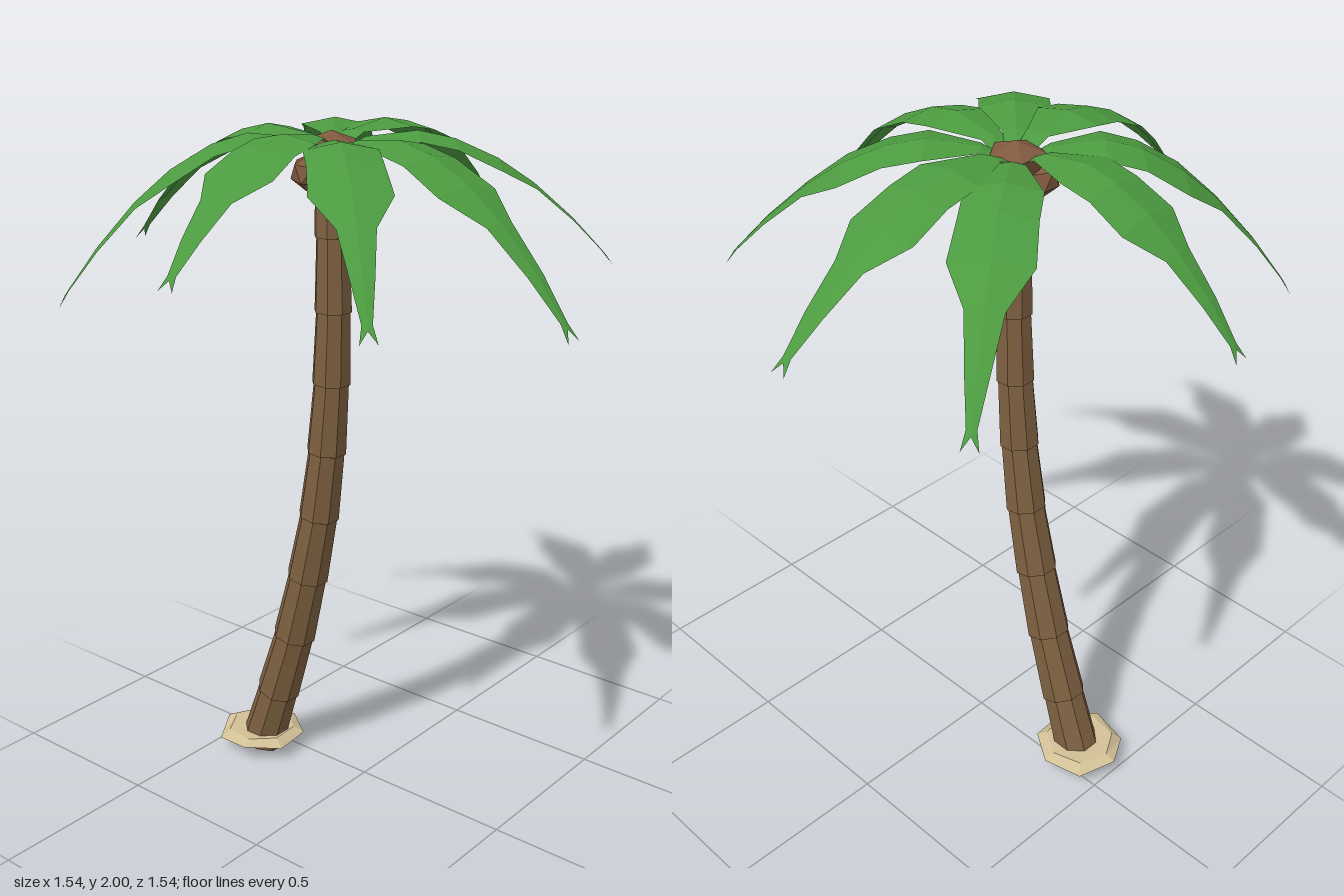
import * as THREE from 'three';

const leafGreen = new THREE.MeshStandardMaterial({ color: 0x4c9a40, side: THREE.DoubleSide });
const barkBrown = new THREE.MeshStandardMaterial({ color: 0x7d6040 });
const nutBrown = new THREE.MeshStandardMaterial({ color: 0x80593f });
const sand = new THREE.MeshStandardMaterial({ color: 0xd2c096 });

const crown = new THREE.Vector3(-0.065, 0, 0.06);

// Faceted mesh: every face gets its own flat normal
function facet(geometry, material, name) {
  const flat = geometry.index ? geometry.toNonIndexed() : geometry;
  flat.computeVertexNormals();
  const mesh = new THREE.Mesh(flat, material);
  mesh.name = name;
  return mesh;
}

function lathe(profile, sides, start = 0) {
  return new THREE.LatheGeometry(profile.map(([r, y]) => new THREE.Vector2(r, y)), sides, start);
}

// Tapered trunk section, wider at its lower end
function trunkSection(a, b, rLow, rHigh) {
  const dir = b.clone().sub(a);
  const mesh = facet(new THREE.CylinderGeometry(rHigh, rLow, dir.length(), 8, 1, false, Math.PI / 8), barkBrown, 'trunkSection');
  mesh.position.copy(a).add(b).multiplyScalar(0.5);
  mesh.quaternion.setFromUnitVectors(new THREE.Vector3(0, 1, 0), dir.normalize());
  return mesh;
}

// Arched frond, a shallow tent in section: [fraction of length, half width]
const stations = [[0, 0.022], [0.12, 0.035], [0.3, 0.097], [0.43, 0.097], [0.58, 0.105], [0.71, 0.048], [0.85, 0.03], [0.96, 0.013], [1, 0.022]];

function frond([tipX, tipY, tipZ], peak) {
  const out = new THREE.Vector3(tipX - crown.x, 0, tipZ - crown.z);
  const length = out.length();
  out.normalize();
  const pos = [], index = [];
  const height = (t) => (t < 0.25
    ? peak - 0.065 * ((0.25 - t) / 0.25) ** 2
    : peak - (peak - tipY) * ((t - 0.25) / 0.75) ** 1.9);
  stations.forEach(([t, w], i) => {
    for (const side of [-1, 0, 1]) {
      // the middle of the last station is pulled back to notch the tip
      const s = t === 1 && side === 0 ? 0.975 : t;
      const d = s * length;
      pos.push(
        crown.x + out.x * d + out.z * side * w,
        height(s) - Math.abs(side) * w * 0.2,
        crown.z + out.z * d - out.x * side * w);
    }
    if (i === 0) return;
    for (const k of [0, 1]) {
      const a = (i - 1) * 3 + k, b = a + 1, c = a + 3, e = a + 4;
      index.push(a, c, b, b, c, e);
    }
  });
  const g = new THREE.BufferGeometry();
  g.setAttribute('position', new THREE.Float32BufferAttribute(pos, 3));
  g.setIndex(index);
  // make the upper side the front
  const flat = g.toNonIndexed();
  flat.computeVertexNormals();
  if (flat.attributes.normal.getY(0) < 0) {
    for (let i = 0; i < index.length; i += 3) [index[i], index[i + 1]] = [index[i + 1], index[i]];
    g.setIndex(index);
  }
  return facet(g, leafGreen, 'frond');
}

export function createModel() {
  const tree = new THREE.Group();
  tree.name = 'palmTree';

  // Curved trunk of stacked sections
  const trunk = new THREE.Group();
  trunk.name = 'trunk';
  const path = [[-0.37, 0.018], [-0.3, 0.22], [-0.228, 0.435], [-0.17, 0.65], [-0.122, 0.86],
    [-0.09, 1.07], [-0.07, 1.28], [-0.061, 1.49], [-0.06, 1.7], [-0.065, 1.91]]
    .map(([x, y]) => new THREE.Vector3(x, y, 0.063));
  for (let i = 0; i < path.length - 1; i++) {
    const r = 0.07 - 0.0022 * i;
    trunk.add(trunkSection(path[i], path[i + 1], r, r - 0.007));
  }
  tree.add(trunk);

  // Sand mound with an uneven rim
  const moundGeo = lathe([[0, 0.02], [0.075, 0.02], [0.137, 0.045], [0.105, 0.064], [0, 0.06]], 7, 0.3);
  const p = moundGeo.attributes.position;
  for (let i = 0; i < p.count; i++) {
    const a = Math.atan2(p.getX(i), p.getZ(i));
    if (Math.hypot(p.getX(i), p.getZ(i)) > 0.12) p.setY(i, p.getY(i) + 0.009 * Math.sin(3 * a));
  }
  const mound = facet(moundGeo, sand, 'sandMound');
  mound.position.set(-0.375, 0, 0.065);
  tree.add(mound);

  // Five-sided cap where the fronds meet
  const cap = facet(lathe([[0, 1.87], [0.05, 1.885], [0.079, 1.955], [0, 1.985]], 5, Math.PI / 2), nutBrown, 'crownCap');
  cap.position.copy(crown);
  tree.add(cap);

  // Nuts hanging below the cap
  [[-0.1, 1.875, 0.115], [-0.025, 1.875, 0.03], [-0.115, 1.87, 0.02]].forEach(([x, y, z], i) => {
    const nut = facet(new THREE.IcosahedronGeometry(0.052, 0), nutBrown, 'nut');
    nut.position.set(x, y, z);
    nut.rotation.set(i, i * 2, 0.4);
    tree.add(nut);
  });

  // Fronds, given by tip position and peak height
  const fronds = new THREE.Group();
  fronds.name = 'fronds';
  [
    [[0.77, 1.565, 0.155], 1.985], [[0.545, 1.63, 0.66], 1.99],
    [[0.01, 1.69, 0.765], 2.0], [[-0.56, 1.535, 0.62], 1.985],
    [[-0.77, 1.62, 0.12], 1.99], [[-0.58, 1.62, -0.61], 1.99],
    [[-0.11, 1.68, -0.77], 1.995], [[0.52, 1.62, -0.45], 1.985],
  ].forEach(([tip, peak]) => fronds.add(frond(tip, peak)));
  tree.add(fronds);

  return tree;
}
